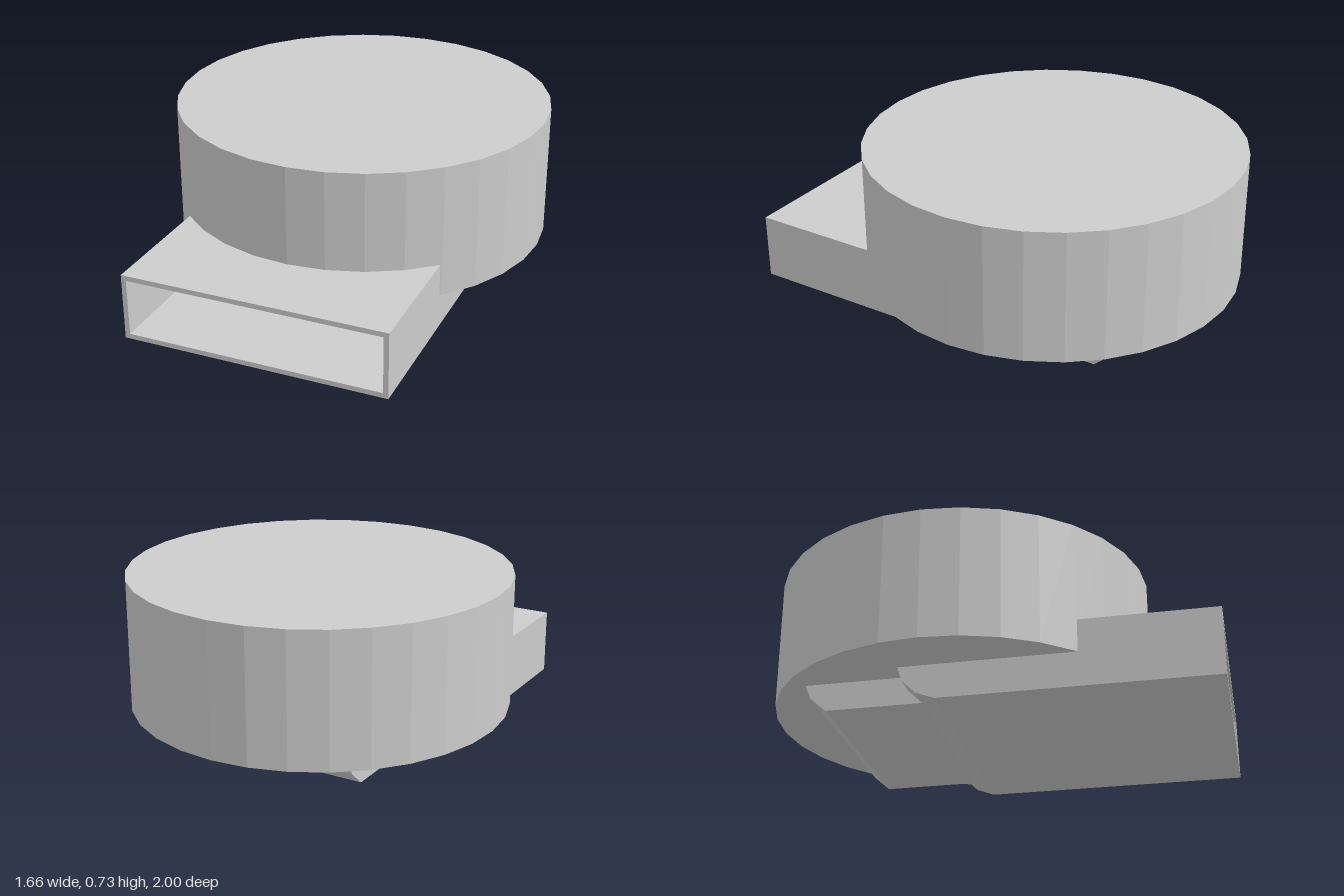
import * as THREE from 'three';

const HALF_W = 0.58, WALL = 0.022, TOP = 0.293, DRUM_Y = 0.15, DRUM_Z = -0.17;

// Extrudes a [z, y] side profile along x, centred on the given x.
function sideExtrude(points, width, x = 0) {
  const shape = new THREE.Shape(points.map(([z, y]) => new THREE.Vector2(z, y)));
  const geo = new THREE.ExtrudeGeometry(shape, { depth: width, bevelEnabled: false });
  geo.translate(0, 0, -width / 2);
  geo.rotateY(-Math.PI / 2);
  geo.translate(x, 0, 0);
  return geo;
}

export function createModel() {
  const model = new THREE.Group();
  const grey = new THREE.MeshStandardMaterial({ color: 0xcccccc, flatShading: true });
  grey.name = 'lightGrey';

  const add = (name, geo) => {
    const mesh = new THREE.Mesh(geo, grey);
    mesh.name = name;
    model.add(mesh);
    return mesh;
  };

  // Faceted round drum
  add('drum', new THREE.CylinderGeometry(0.83, 0.83, 0.58, 32))
    .position.set(0, DRUM_Y + 0.29, DRUM_Z);

  // Duct sides: tall in front of the drum, low and curved up beneath it
  const curve = [[-0.16, 0], [-0.24, 0.03], [-0.3, 0.09], [-0.32, DRUM_Y + 0.002]];
  const side = [[1, 0], ...curve, [0.35, DRUM_Y + 0.002], [0.35, TOP], [1, TOP]];
  for (const s of [-1, 1]) {
    add(s > 0 ? 'ductLeftWall' : 'ductRightWall', sideExtrude(side, WALL, s * (HALF_W - WALL / 2)));
  }

  // Duct floor with its curved rear end
  const innerCurve = [[-0.295, DRUM_Y + 0.002], [-0.28, 0.1], [-0.228, 0.05], [-0.155, WALL]];
  const innerW = 2 * (HALF_W - WALL);
  add('ductFloor', sideExtrude([[1, 0], ...curve, ...innerCurve, [1, WALL]], innerW));

  // Duct roof, running into the drum
  const roof = add('ductRoof', new THREE.BoxGeometry(innerW, WALL, 0.65));
  roof.position.set(0, TOP - WALL / 2, 0.675);

  // Block under the drum, rounded up at both ends
  const half = [[0.48, 0.028], [0.55, 0.09], [0.575, DRUM_Y + 0.002]];
  const block = [
    ...half.map(([z, y]) => [DRUM_Z + z, y]),
    ...half.map(([z, y]) => [DRUM_Z - z, y]).reverse(),
  ];
  add('underBlock', sideExtrude(block, 0.96));

  return model;
}
